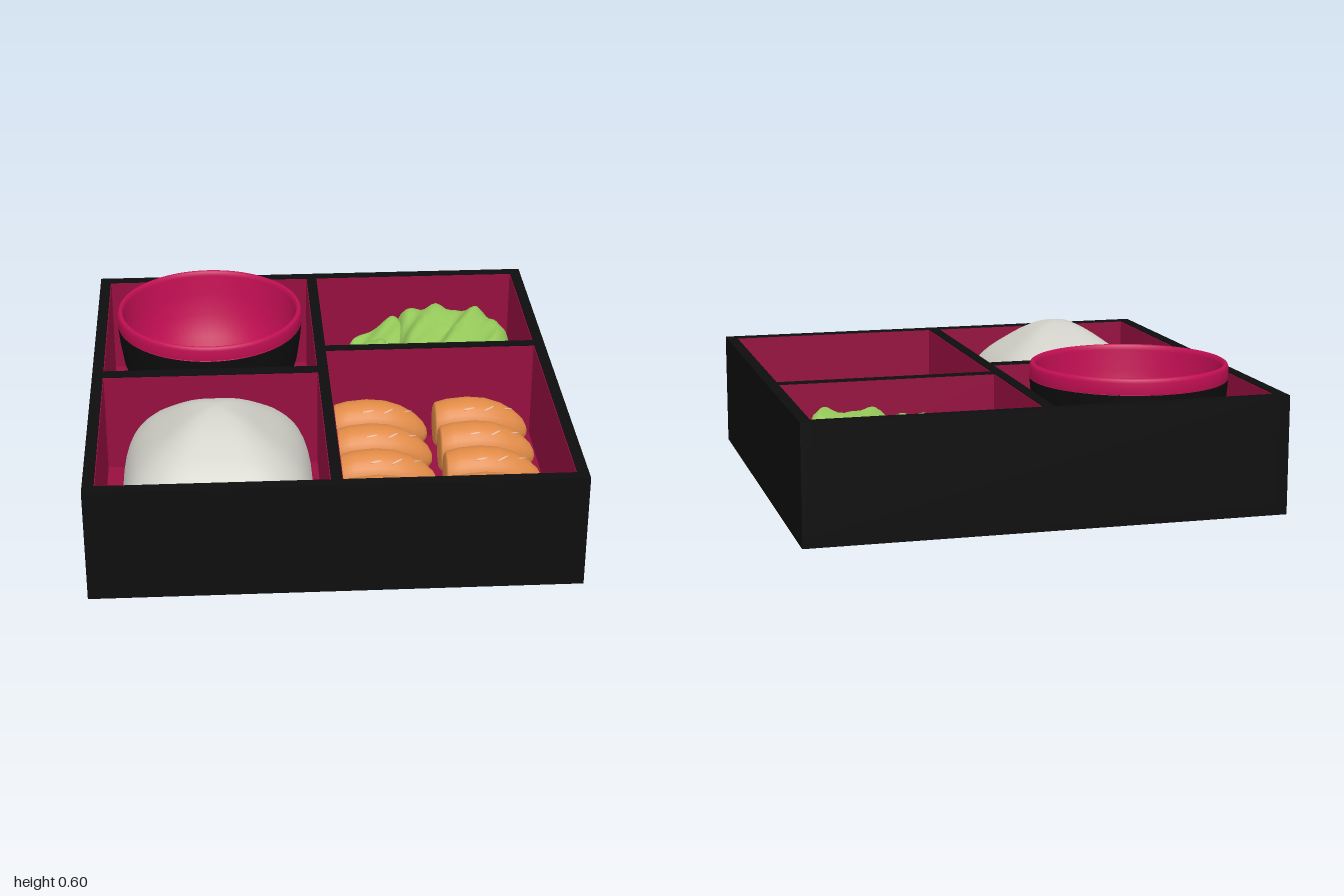
import * as THREE from 'three';

const mat = (name, color, side = THREE.FrontSide) => {
  const m = new THREE.MeshStandardMaterial({ color, side });
  m.name = name;
  return m;
};

// Skin over closed rings of points, from the centre outwards
function skin(rings) {
  const n = rings[0].length, pos = [], idx = [];
  rings.forEach(r => r.forEach(p => pos.push(...p)));
  for (let i = 0; i < rings.length - 1; i++) {
    for (let j = 0; j < n; j++) {
      const k = (j + 1) % n;
      const a = i * n + j, d = i * n + k, b = a + n, c = d + n;
      idx.push(a, d, b, b, d, c);
    }
  }
  const g = new THREE.BufferGeometry();
  g.setAttribute('position', new THREE.Float32BufferAttribute(pos, 3));
  g.setIndex(idx);
  g.computeVertexNormals();
  return g;
}

const lathe = (pts, seg) => new THREE.LatheGeometry(pts.map(p => new THREE.Vector2(...p)), seg);

export function createModel() {
  const root = new THREE.Group();
  const black = mat('black lacquer', 0x0d0d0d);
  const lining = mat('crimson lining', 0x960e3f);
  const red = mat('bowl red', 0xc40f54);
  const white = mat('rice white', 0xcfcec6);
  const green = mat('leaf green', 0x98cc5c, THREE.DoubleSide);
  const orange = mat('salmon orange', 0xe08a46);
  const pale = mat('pale marbling', 0xe6b796);

  const add = (name, geo, m, parent = root) => {
    const mesh = new THREE.Mesh(geo, m);
    mesh.name = name;
    parent.add(mesh);
    return mesh;
  };
  // Box given by its limits on each axis
  const slab = (name, m, x0, x1, y0, y1, z0, z1, parent) =>
    add(name, new THREE.BoxGeometry(x1 - x0, y1 - y0, z1 - z0), m, parent)
      .position.set((x0 + x1) / 2, (y0 + y1) / 2, (z0 + z1) / 2);

  // Tray, outer walls and dividers
  const H = 0.495, W = 0.953, F = 0.045;
  slab('trayBase', black, -1, 1, 0, F, -1, 1);
  for (const s of [-1, 1]) {
    const [a, b] = s < 0 ? [-1, -W] : [W, 1];
    slab('sideWall', black, a, b, F, H, -1, 1);
    slab('endWall', black, -W, W, F, H, a, b);
  }
  slab('longDivider', black, -0.023, 0.023, F, H, -W, W);
  slab('leftCellDivider', black, -W, -0.023, F, H, -0.031, 0.027);
  slab('rightCellDivider', black, 0.023, W, F, H, -0.228, -0.18);

  // Thin lining in each compartment
  const t = 0.003, top = H - 0.004;
  const cells = [[-W, -0.023, -W, -0.031], [-W, -0.023, 0.027, W],
    [0.023, W, -W, -0.228], [0.023, W, -0.18, W]];
  for (const [x0, x1, z0, z1] of cells) {
    const cell = new THREE.Group();
    cell.name = 'compartmentLining';
    root.add(cell);
    slab('floorLining', lining, x0, x1, F, F + 0.005, z0, z1, cell);
    slab('wallLining', lining, x0, x0 + t, F, top, z0, z1, cell);
    slab('wallLining', lining, x1 - t, x1, F, top, z0, z1, cell);
    slab('wallLining', lining, x0, x1, F, top, z0, z0 + t, cell);
    slab('wallLining', lining, x0, x1, F, top, z1 - t, z1, cell);
  }

  // Soup bowl: black outside, red rim and inside
  const bowl = new THREE.Group();
  bowl.name = 'bowl';
  bowl.position.set(-0.487, 0, -0.493);
  root.add(bowl);
  add('bowlOutside', lathe([[0, 0.052], [0.21, 0.052], [0.22, 0.09], [0.3, 0.14], [0.36, 0.22],
    [0.395, 0.33], [0.41, 0.43], [0.417, 0.505]], 64), black, bowl);
  add('bowlInside', lathe([[0.408, 0.505], [0.416, 0.508], [0.417, 0.555], [0.412, 0.568], [0.404, 0.573],
    [0.395, 0.568], [0.39, 0.55], [0.386, 0.46], [0.37, 0.36], [0.335, 0.26], [0.28, 0.19],
    [0.2, 0.15], [0.1, 0.135], [0, 0.13]], 64), red, bowl);

  // Rice mound: rounded-square sections below a soft peak
  const curve = new THREE.SplineCurve([[0, 0.596], [0.06, 0.586], [0.13, 0.555], [0.21, 0.502], [0.3, 0.43],
    [0.365, 0.34], [0.397, 0.21], [0.385, 0.05]].map(p => new THREE.Vector2(...p)));
  const rice = curve.getPoints(24).map(({ x: r, y }) => Array.from({ length: 64 }, (_, j) => {
    const a = j / 64 * Math.PI * 2, c = Math.cos(a), s = Math.sin(a);
    const k = r / Math.pow(c ** 4 + s ** 4, 0.25);
    return [c * k, y, s * k];
  }));
  add('riceMound', skin(rice), white).position.set(-0.467, 0, 0.49);

  // Lettuce: domed leaves with slanting folds
  const leaf = (name, outline, height, slope, fold) => {
    const pts = new THREE.CatmullRomCurve3(outline.map(([x, z]) => new THREE.Vector3(x, 0, z)), true)
      .getPoints(72).slice(0, 72);
    const cx = pts.reduce((s, p) => s + p.x, 0) / 72, cz = pts.reduce((s, p) => s + p.z, 0) / 72;
    const rings = [];
    for (let i = 0; i <= 14; i++) {
      const u = Math.sin(i / 14 * Math.PI / 2);
      rings.push(pts.map(p => {
        const x = cx + (p.x - cx) * u, z = cz + (p.z - cz) * u;
        const across = x + 0.42 * z;
        const y = height + slope * (x - cx) + fold * Math.sin(across * 32) + fold * 0.5 * Math.sin(across * 55 + z * 6);
        return [x, y - (y - 0.14) * u ** 9, z];
      }));
    }
    add(name, skin(rings), green);
  };
  leaf('backLeaf', [[0.46, -0.8], [0.42, -0.5], [0.3, -0.48], [0.17, -0.58], [0.14, -0.7], [0.25, -0.83],
    [0.4, -0.94]], 0.31, 0.2, 0.012);
  leaf('frontLeaf', [[0.04, -0.5], [0.1, -0.6], [0.2, -0.645], [0.33, -0.63], [0.38, -0.47], [0.45, -0.31],
    [0.36, -0.31], [0.2, -0.25], [0.08, -0.29], [0.04, -0.4]], 0.33, 0.25, 0.014);
  leaf('largeLeaf', [[0.4, -0.94], [0.5, -0.945], [0.7, -0.87], [0.85, -0.8], [0.92, -0.65], [0.92, -0.45],
    [0.85, -0.29], [0.7, -0.24], [0.55, -0.27], [0.4, -0.34], [0.35, -0.5], [0.37, -0.75]], 0.4, 0.08, 0.016);

  // Salmon pieces: blunt at one end, tapered and drooping at the other
  const arch = x => 0.02 * Math.sin(x / 0.42 * Math.PI) - 0.045 * (x / 0.42) ** 2;
  const piece = lathe([[0, 0], [0.078, 0], [0.09, 0.008], [0.097, 0.06], [0.1, 0.15], [0.098, 0.23],
    [0.088, 0.3], [0.07, 0.36], [0.045, 0.4], [0.02, 0.417], [0, 0.42]], 28);
  piece.rotateZ(-Math.PI / 2).scale(1, 1.1, 1);
  const p = piece.attributes.position;
  for (let i = 0; i < p.count; i++) p.setY(i, p.getY(i) + arch(p.getX(i)));
  piece.computeVertexNormals();
  const fleck = new THREE.SphereGeometry(1, 8, 6).scale(0.03, 0.003, 0.005);
  for (let row = 0; row < 5; row++) {
    for (const x of [0.05, 0.498]) {
      const g = new THREE.Group();
      g.name = 'salmonPiece';
      g.position.set(x, 0.17, -0.066 + row * 0.2235);
      root.add(g);
      add('salmonBody', piece, orange, g);
      // Marbling streaks lying on the surface
      for (const [fx, fz, turn] of [[0.15, 0.055, 0.2], [0.33, 0.01, 0.7], [0.24, 0.05, 0.5]]) {
        const r = fx > 0.3 ? 0.081 : 0.098;
        const f = add('marbling', fleck, pale, g);
        f.position.set(fx, 1.1 * Math.sqrt(r * r - fz * fz) + arch(fx), fz);
        f.rotation.set(Math.asin(fz / r), turn, fx > 0.3 ? -0.4 : -0.05);
      }
    }
  }
  return root;
}
